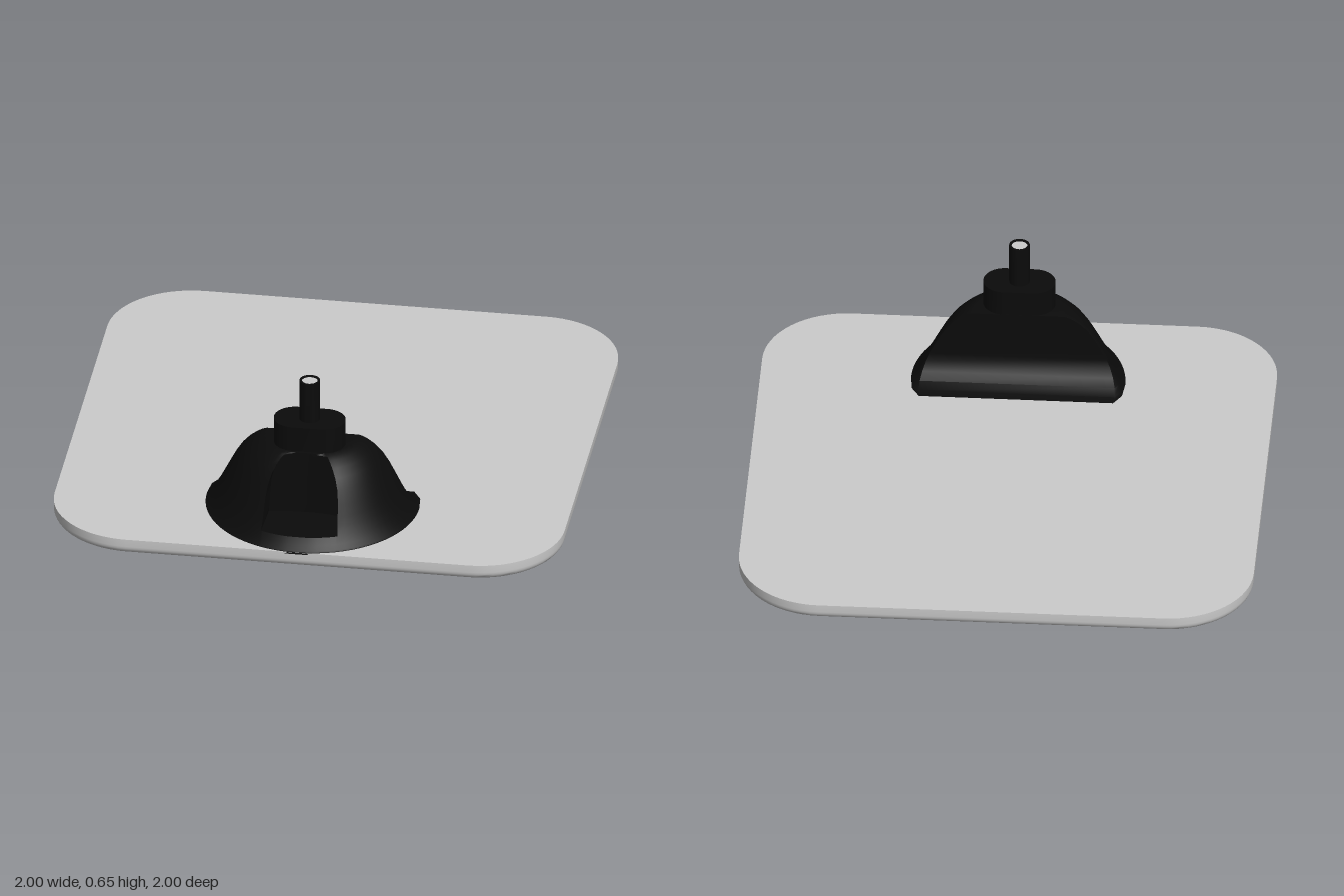
import * as THREE from 'three';
import { toCreasedNormals } from 'three/addons/utils/BufferGeometryUtils.js';

const grey = new THREE.MeshStandardMaterial({ color: 0xcccccc });
const black = new THREE.MeshStandardMaterial({ color: 0x0b0b0b });

const AXIS_Z = 0.585; // flat back of the housing
const PIN_Z = 0.667;

// Skin stacked horizontal outlines (bottom to top) and cap both ends.
// Each ring is { y, pts: [[x, z], ...] }, running from +x through +z.
function loft(rings, crease = 0.6) {
  const n = rings[0].pts.length, pos = [], idx = [];
  for (const { y, pts } of rings) for (const [x, z] of pts) pos.push(x, y, z);
  for (let i = 0; i < rings.length - 1; i++) {
    for (let j = 0; j < n; j++) {
      const k = (j + 1) % n, a = i * n, b = a + n;
      idx.push(a + j, b + j, a + k, a + k, b + j, b + k);
    }
  }
  const cap = (i, flip) => {
    const contour = rings[i].pts.map(([x, z]) => new THREE.Vector2(x, z));
    for (const [a, b, c] of THREE.ShapeUtils.triangulateShape(contour, [])) {
      idx.push(i * n + a, i * n + (flip ? c : b), i * n + (flip ? b : c));
    }
  };
  cap(0, false);
  cap(rings.length - 1, true);
  const g = new THREE.BufferGeometry();
  g.setAttribute('position', new THREE.Float32BufferAttribute(pos, 3));
  g.setIndex(idx);
  return toCreasedNormals(g, crease);
}

// Rounded rectangle outline with half sizes hx, hz and corner radius r
function roundedRect(hx, hz, r, cz = 0, steps = 16) {
  const pts = [];
  [[1, 1], [-1, 1], [-1, -1], [1, -1]].forEach(([sx, sz], q) => {
    for (let i = 0; i <= steps; i++) {
      const t = (q + i / steps) * Math.PI / 2;
      pts.push([sx * (hx - r) + r * Math.cos(t), cz + sz * (hz - r) + r * Math.sin(t)]);
    }
  });
  return pts;
}

// Housing outline: rounded front with a recess, flat back with a flared foot
function housingOutline(r, back, w, recessed) {
  const right = [], edge = Math.acos(w / r);
  for (let i = 0; i <= 14; i++) {
    const t = edge * i / 14;
    right.push([r * Math.cos(t), AXIS_Z + r * Math.sin(t)]);
  }
  for (const f of [0.96, 0.75, 0.5, 0.25]) {
    const x = w * f, outer = AXIS_Z + Math.sqrt(r * r - x * x);
    right.push([x, recessed ? Math.min(outer, 0.76 + 0.8 * x * x) : outer]);
  }
  const d = Math.max(AXIS_Z - back, 0.002);
  right.unshift([r - 0.3 * d, AXIS_Z - d], [r - 0.06 * d, AXIS_Z - 0.6 * d]);
  const left = right.map(([x, z]) => [-x, z]).reverse();
  return [...right, ...left];
}

export function createModel() {
  const model = new THREE.Group();
  const add = (name, geometry, material) => {
    const m = new THREE.Mesh(geometry, material);
    m.name = name;
    model.add(m);
    return m;
  };

  // Base plate with a rounded lower edge
  const plate = [];
  const e = 0.035;
  for (let i = 0; i <= 6; i++) {
    const t = (i / 6) * Math.PI / 2, inset = e * (1 - Math.sin(t));
    plate.push({ y: 0.001 + e * (1 - Math.cos(t)), pts: roundedRect(1 - inset, 1 - inset, 0.33 - inset) });
  }
  plate.push({ y: 0.067, pts: roundedRect(1, 1, 0.33) });
  add('basePlate', loft(plate), grey);

  // Tiny pads under the plate
  for (const sx of [-1, 1]) for (const sz of [-1, 1]) {
    add('footPad', new THREE.CylinderGeometry(0.012, 0.012, 0.004, 16), grey)
      .position.set(sx * 0.63, 0.002, sz * 0.63);
  }

  // Bell-shaped housing: height, radius, back z, recess half width, recessed
  const rows = [
    [0.06, 0.418, 0.455, 0.15, false],
    [0.069, 0.416, 0.455, 0.15, false],
    [0.073, 0.411, 0.487, 0.15, false],
    [0.09, 0.397, 0.525, 0.15, false],
    [0.115, 0.38, 0.555, 0.15, false],
    [0.115, 0.38, 0.555, 0.15, true],
    [0.15, 0.36, 0.577, 0.147, true],
    [0.18, 0.345, AXIS_Z, 0.145, true],
    [0.22, 0.325, AXIS_Z, 0.143, true],
    [0.27, 0.299, AXIS_Z, 0.137, true],
    [0.31, 0.273, AXIS_Z, 0.125, true],
    [0.34, 0.245, AXIS_Z, 0.11, true],
    [0.36, 0.218, AXIS_Z, 0.095, true],
    [0.37, 0.2, AXIS_Z, 0.085, true],
    [0.376, 0.182, AXIS_Z, 0.075, true],
  ];
  add('housing', loft(rows.map(([y, r, b, w, c]) => ({ y, pts: housingOutline(r, b, w, c) }))), black);

  // Collar with round ends
  const collar = roundedRect(0.14, 0.083, 0.0825, PIN_Z);
  add('collar', loft([{ y: 0.36, pts: collar }, { y: 0.48, pts: collar }]), black);

  // Hollow stem with a pale core
  const stem = [[0.04, 0.47], [0.04, 0.65], [0.031, 0.65], [0.031, 0.47]].map(([x, y]) => new THREE.Vector2(x, y));
  add('stem', toCreasedNormals(new THREE.LatheGeometry(stem, 32), 0.6), black).position.z = PIN_Z;
  add('stemCore', new THREE.CylinderGeometry(0.031, 0.031, 0.165, 32), grey).position.set(0, 0.5625, PIN_Z);

  return model;
}
